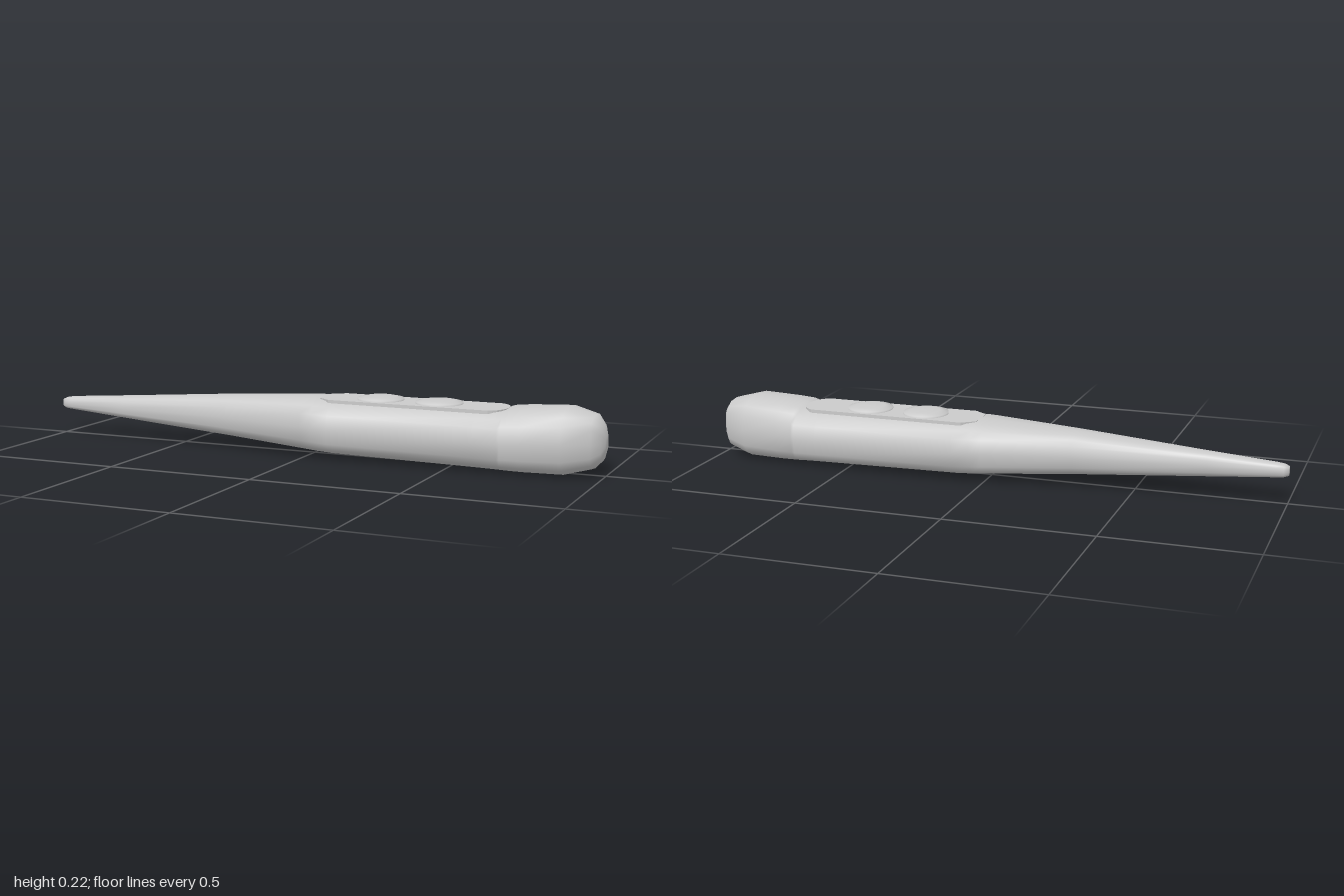
import * as THREE from 'three';

const SIDES = 16;
const PANEL_TOP = 0.2;

// Stations along the body: x, top y, bottom y, half width in z
const STATIONS = [
  [-1, 0.113, 0.113, 0],
  [-1, 0.128, 0.098, 0.016],
  [-0.985, 0.134, 0.093, 0.025],
  [-0.96, 0.137, 0.091, 0.029],
  [-0.74, 0.153, 0.074, 0.043],
  [-0.3, 0.185, 0.043, 0.086],
  [0, 0.2, 0.021, 0.132],
  [0.04, 0.201, 0.018, 0.138],
  [0.1, 0.198, 0.015, 0.143],
  [0.6, 0.198, 0.007, 0.14],
  [0.68, 0.199, 0.005, 0.139],
  [0.69, 0.207, 0.004, 0.139],
  [0.75, 0.212, 0.003, 0.137],
  [0.88, 0.219, 0.004, 0.125],
  [0.965, 0.198, 0.026, 0.082],
  [0.99, 0.168, 0.052, 0.045],
  [1, 0.135, 0.085, 0.02],
  [1, 0.11, 0.11, 0],
];

const squarish = (v) => Math.sign(v) * Math.abs(v) ** 0.7;

// Smooth loft of rounded-square rings through the stations
function bodyGeometry() {
  const positions = [];
  const index = [];
  STATIONS.forEach(([x, top, bottom, halfWidth], i) => {
    for (let j = 0; j < SIDES; j++) {
      const t = (j / SIDES) * Math.PI * 2;
      positions.push(
        x,
        (top + bottom) / 2 + ((top - bottom) / 2) * squarish(Math.cos(t)),
        halfWidth * squarish(Math.sin(t)),
      );
      if (i === STATIONS.length - 1) continue;
      const a = i * SIDES + j;
      const b = i * SIDES + ((j + 1) % SIDES);
      index.push(a, b, a + SIDES, b, b + SIDES, a + SIDES);
    }
  });
  const geometry = new THREE.BufferGeometry();
  geometry.setAttribute('position', new THREE.Float32BufferAttribute(positions, 3));
  geometry.setIndex(index);
  geometry.computeVertexNormals();
  return geometry;
}

// Flat inlay with clipped, slightly curved ends
function panelGeometry() {
  const w = 0.083;
  const s = new THREE.Shape();
  s.moveTo(0.085, -w);
  s.lineTo(0.635, -w);
  s.quadraticCurveTo(0.68, -0.06, 0.68, 0);
  s.quadraticCurveTo(0.68, 0.06, 0.635, w);
  s.lineTo(0.085, w);
  s.lineTo(0.04, 0.05);
  s.lineTo(0.04, -0.05);
  s.closePath();
  const depth = 0.015;
  return new THREE.ExtrudeGeometry(s, { depth, bevelEnabled: false, curveSegments: 6 })
    .rotateX(-Math.PI / 2)
    .translate(0, PANEL_TOP - depth, 0);
}

// Low button with a gently sloped rim
function buttonGeometry() {
  const profile = [[0.078, -0.008], [0.078, 0.006], [0.05, 0.012], [0, 0.013]];
  return new THREE.LatheGeometry(profile.map(([r, y]) => new THREE.Vector2(r, y)), 32);
}

export function createModel() {
  const model = new THREE.Group();
  const material = new THREE.MeshStandardMaterial({ color: 0xcccccc });
  const add = (name, geometry, x = 0, y = 0) => {
    const mesh = new THREE.Mesh(geometry, material);
    mesh.name = name;
    mesh.position.set(x, y, 0);
    model.add(mesh);
  };

  add('body', bodyGeometry());
  add('buttonPanel', panelGeometry());
  add('innerButton', buttonGeometry(), 0.24, PANEL_TOP);
  add('outerButton', buttonGeometry(), 0.445, PANEL_TOP);
  return model;
}
